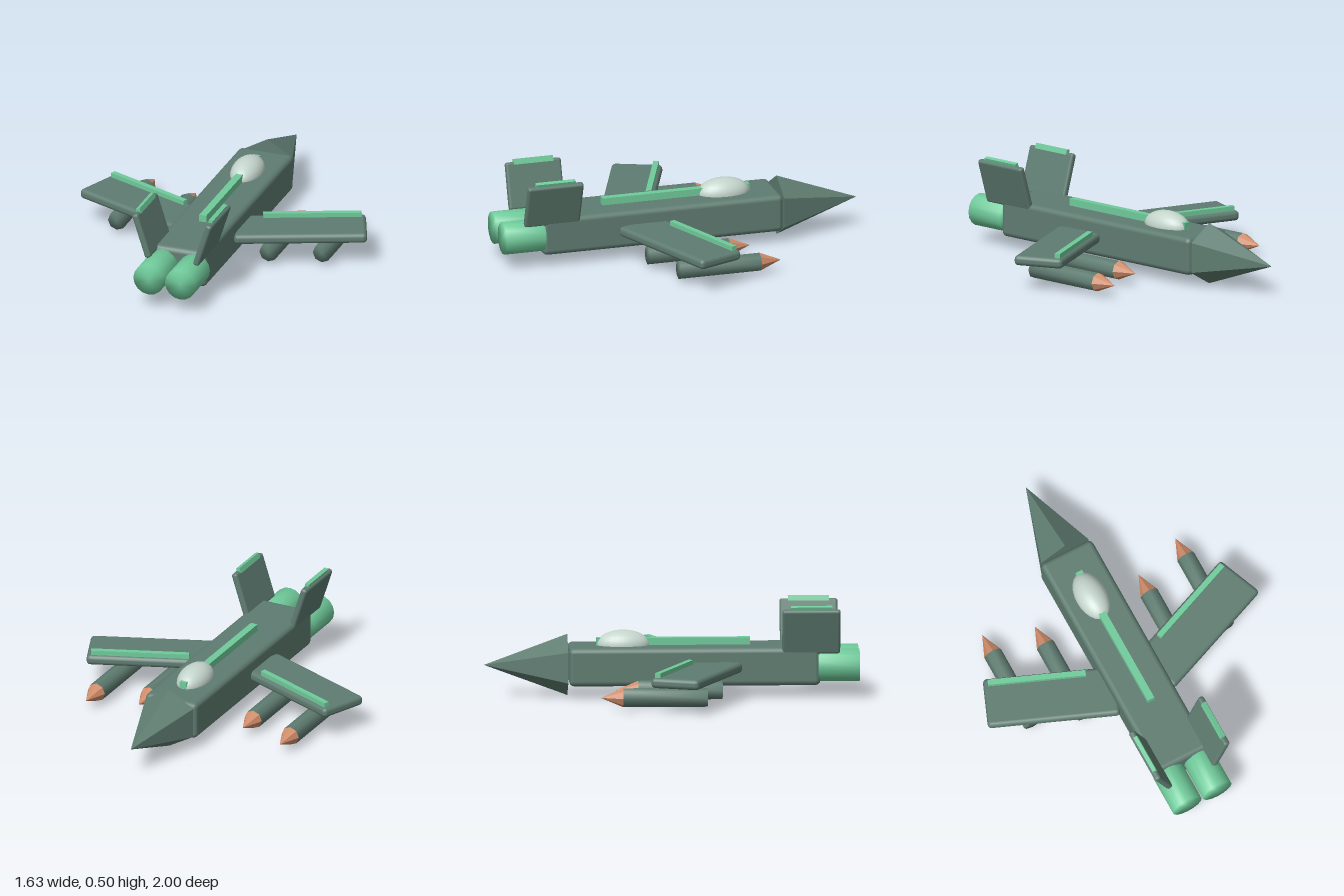
import * as THREE from 'three';
import { mergeVertices } from 'three/addons/utils/BufferGeometryUtils.js';
import { RoundedBoxGeometry } from 'three/addons/geometries/RoundedBoxGeometry.js';

function material(name, color, flatShading = false) {
  const m = new THREE.MeshStandardMaterial({ color, flatShading });
  m.name = name;
  return m;
}

// Cylinder along z with normals shared between wall and caps, for a soft look
function softCylinder(radius, length, sides) {
  let g = new THREE.CylinderGeometry(radius, radius, length, sides);
  g.deleteAttribute('uv');
  g.deleteAttribute('normal');
  g = mergeVertices(g);
  g.computeVertexNormals();
  return g.rotateX(Math.PI / 2);
}

// Cone pointing towards -z with a corner straight up
function noseCone(radius, length, sides) {
  return new THREE.ConeGeometry(radius, length, sides).rotateX(-Math.PI / 2);
}

export function createModel() {
  const model = new THREE.Group();
  model.name = 'jet';
  const hull = material('hull green', 0x5f7c71);
  const hullFlat = hull; // cones get faceted geometry instead of another material
  const trim = material('trim green', 0x70cb9b);
  const glass = material('canopy glass', 0xc4d5cc);
  const tip = material('warhead orange', 0xd08d6b);

  function add(parent, name, geometry, mat, x = 0, y = 0, z = 0) {
    const mesh = new THREE.Mesh(geometry, mat);
    mesh.name = name;
    mesh.position.set(x, y, z);
    parent.add(mesh);
    return mesh;
  }

  function faceted(geometry) {
    const g = geometry.toNonIndexed();
    g.computeVertexNormals();
    return g;
  }

  // Fuselage, nose, canopy and spine
  add(model, 'fuselage', new RoundedBoxGeometry(0.31, 0.205, 1.34, 2, 0.028), hull, 0, 0.167, 0.12);
  add(model, 'nose', faceted(noseCone(0.165, 0.445, 6)), hullFlat, 0, 0.165, -0.7775);
  add(model, 'canopy', new THREE.SphereGeometry(1, 24, 16).scale(0.085, 0.08, 0.143), glass, 0, 0.27, -0.258);
  add(model, 'spineStripe', new THREE.BoxGeometry(0.04, 0.06, 0.82), trim, 0, 0.278, 0.01);

  for (const side of [1, -1]) {
    const label = side > 0 ? 'left' : 'right';

    // Engine
    add(model, label + 'Engine', softCylinder(0.087, 0.22, 16), trim, side * 0.09, 0.167, 0.89);

    // Forward-swept wing with its stripe
    const wing = new THREE.Group();
    wing.name = label + 'Wing';
    wing.position.set(side * 0.44, 0.167, 0.118);
    wing.rotation.y = side * 0.385;
    model.add(wing);
    add(wing, 'wingPanel', new RoundedBoxGeometry(0.71, 0.055, 0.272, 2, 0.022), hull);
    add(wing, 'wingStripe', new THREE.BoxGeometry(0.525, 0.04, 0.03), trim, side * 0.069, 0.032, -0.103);

    // Outward-leaning tail fin with its stripe
    const fin = new THREE.Group();
    fin.name = label + 'TailFin';
    fin.position.set(side * 0.173, 0.36, 0.74);
    fin.rotation.z = -side * 0.31;
    model.add(fin);
    add(fin, 'finPanel', new RoundedBoxGeometry(0.036, 0.255, 0.31, 2, 0.014), hull);
    add(fin, 'finStripe', new THREE.BoxGeometry(0.022, 0.03, 0.22), trim, -side * 0.008, 0.128, 0);

    // Missiles under the wing
    for (const [x, z] of [[0.313, 0.035], [0.583, -0.055]]) {
      const missile = new THREE.Group();
      missile.name = label + (x > 0.5 ? 'OuterMissile' : 'InnerMissile');
      missile.position.set(side * x, 0.07, z);
      model.add(missile);
      add(missile, 'missileBody', softCylinder(0.051, 0.45, 8), hull);
      add(missile, 'missileTip', faceted(noseCone(0.051, 0.12, 8)), tip, 0, 0, -0.285);
    }
  }
  return model;
}
